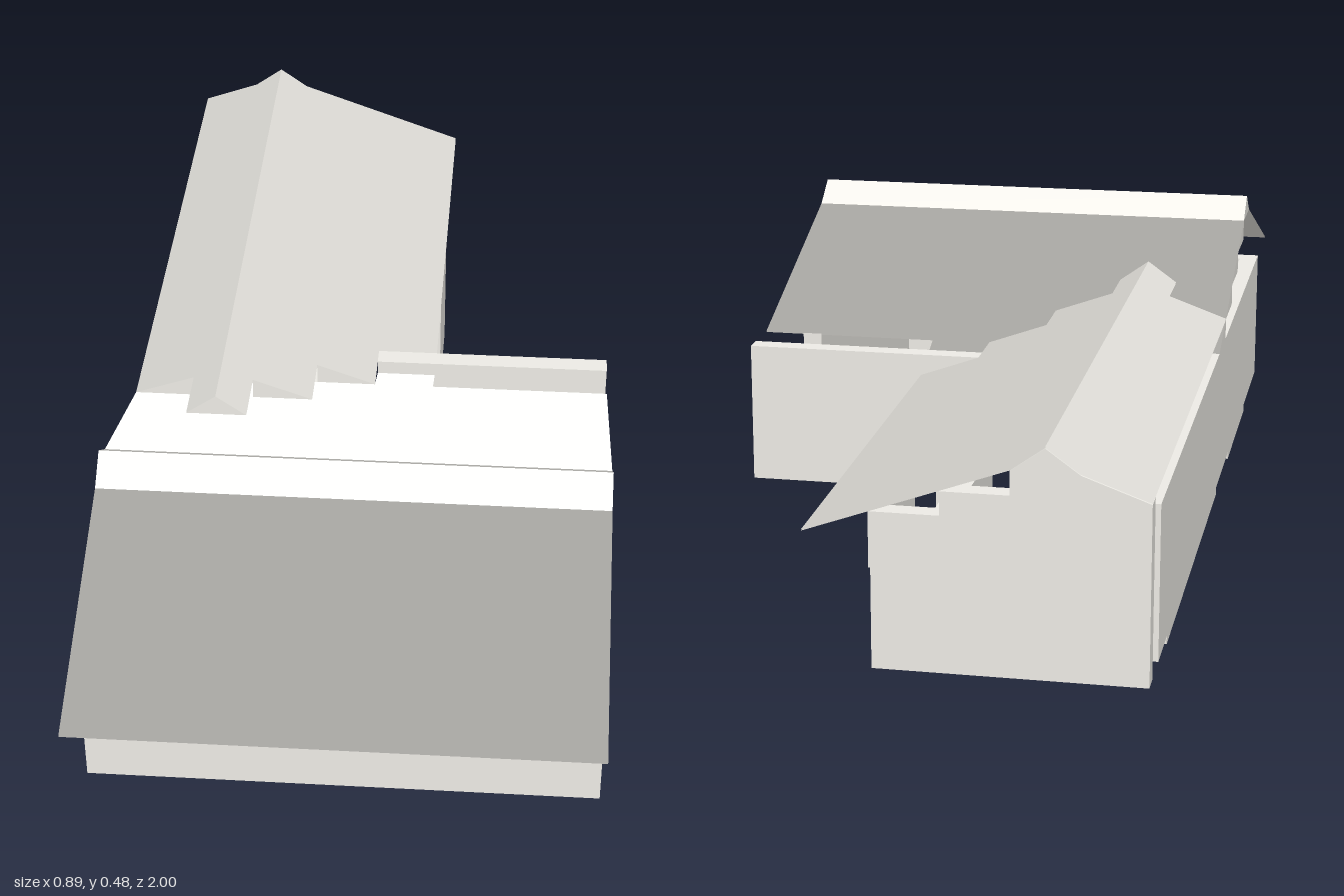
import * as THREE from 'three';

export function createModel() {
  const house = new THREE.Group();
  house.name = 'house';
  const mat = new THREE.MeshStandardMaterial({ color: 0xeeece6, side: THREE.DoubleSide });
  const C = 1 / 9; // plan cell
  const BASE = 0.014, T = 0.036;

  const add = (name, geo) => {
    const m = new THREE.Mesh(geo, mat);
    m.name = name;
    house.add(m);
    return m;
  };
  const box = (name, x0, x1, y0, y1, z0, z1) => {
    add(name, new THREE.BoxGeometry(x1 - x0, y1 - y0, z1 - z0))
      .position.set((x0 + x1) / 2, (y0 + y1) / 2, (z0 + z1) / 2);
  };
  const corners = pts => new THREE.BufferGeometry()
    .setAttribute('position', new THREE.Float32BufferAttribute(pts.flat(), 3));
  // small gable triangle
  const triangle = (name, ...pts) => {
    const g = corners(pts);
    g.computeVertexNormals();
    add(name, g);
  };
  // thin roof sheet: top and underside share one 45 degree shading normal
  // (corners run anticlockwise seen from above)
  const sheet = (name, [nx, nz], ...pts) => {
    const under = pts.map(([x, y, z]) => [x, y - 0.002, z]);
    const g = corners([...pts, ...under]);
    const n = new THREE.Vector3(nx, 1, nz).normalize().toArray();
    g.setAttribute('normal', new THREE.Float32BufferAttribute(Array(8).fill(n).flat(), 3));
    g.setIndex([0, 1, 2, 0, 2, 3, 4, 6, 5, 4, 7, 6]);
    add(name, g);
  };

  // floor slabs
  box('porchFloor', 3 * C, 4 * C, 0, BASE, 0, 5 * C);
  box('roomFloor', -4 * C, C, 0, BASE, 2 * C, 5 * C);
  box('wingFloor', -4 * C, -C / 2, 0, BASE, -7 * C, 0);

  // walls
  box('frontWall', -4 * C, 4 * C, BASE, 0.28, 0.815 - T, 0.815);
  box('leftWall', -4 * C, -4 * C + T, BASE, 0.28, -8 * C, 0.815 - T);
  box('rightWall', 3 * C, 3 * C + T, BASE, 0.28, 0, 0.815 - T);
  box('patioWall', 0, 4 * C, BASE, 0.28, -C, -C + T);
  box('wingSideWall', 0, T, BASE, 0.24, -3 * C, -C);
  box('bayWall', C - T, C, BASE, 0.24, -5 * C, -3 * C);
  box('wingRearSideWall', -C, -C + T, BASE, 0.24, -8 * C, -5 * C);

  // end wall, stepped under one side of the wing roof
  const end = new THREE.Shape([
    [-4 * C, BASE], [0, BASE], [0, 0.277], [-C, 0.277], [-C, 0.317], [-2 * C, 0.317], [-2 * C, 0.357],
    [-2.5 * C, 0.396], [-3 * C, 0.356], [-4 * C, 0.316],
  ].map(p => new THREE.Vector2(...p)));
  add('endWall', new THREE.ExtrudeGeometry(end, { depth: T, bevelEnabled: false })).position.z = -0.999;

  // main roof: two long slopes and a steeper ridge cap, each from its front to its back edge
  const X = 4 * C;
  const slope = (name, nz, x0, x1, z0, y0, z1, y1) =>
    sheet(name, [0, nz], [x0, y0, z0], [x1, y0, z0], [x1, y1, z1], [x0, y1, z1]);
  slope('frontSlope', -1, -X, X, 1, 0.28, 5 * C, 0.44);
  slope('ridgeCapFront', 1, -X, X, 5 * C, 0.44, 0.5, 0.48);
  slope('ridgeCapBack', -1, -X, X, 0.5, 0.48, 4 * C, 0.44);
  slope('backSlope', 1, -X, X, 4 * C, 0.44, 0, 0.28);
  slope('valleySlope', 1, 0, C, 0, 0.28, -C, 0.24);

  for (const x of [-X, X])
    triangle('ridgeCapEnd', [x, 0.44, 5 * C], [x, 0.48, 0.5], [x, 0.44, 4 * C]);
  // hanging gable teeth
  for (const x of [-X, 3 * C, X])
    for (let i = 0; i < 4; i++) {
      const z = (4 - i) * C, y = 0.44 - 0.04 * i;
      triangle('gableTooth', [x, y, z], [x, y - 0.04, z], [x, y - 0.04, z - C]);
    }

  // wing roof strips [x0, y0, x1, y1, front z], stepped against the main roof
  const strips = [
    [C, 0.24, 0, 0.28, -C],
    [0, 0.28, -C, 0.32, 0],
    [-C, 0.32, -2 * C, 0.36, C],
    [-2 * C, 0.36, -2.5 * C, 0.40, 2 * C],
    [-2.5 * C, 0.40, -3 * C, 0.36, 2 * C],
    [-3 * C, 0.36, -4 * C, 0.32, C],
  ];
  for (const [x0, y0, x1, y1, z] of strips) {
    const rising = y1 > y0;
    sheet('wingRoof', [rising ? 1 : -1, 0], [x0, y0, z], [x0, y0, -1], [x1, y1, -1], [x1, y1, z]);
    triangle('wingTooth', [x0, y0, z], [x1, y1, z], [rising ? x1 : x0, Math.min(y0, y1), z]);
  }
  return house;
}
